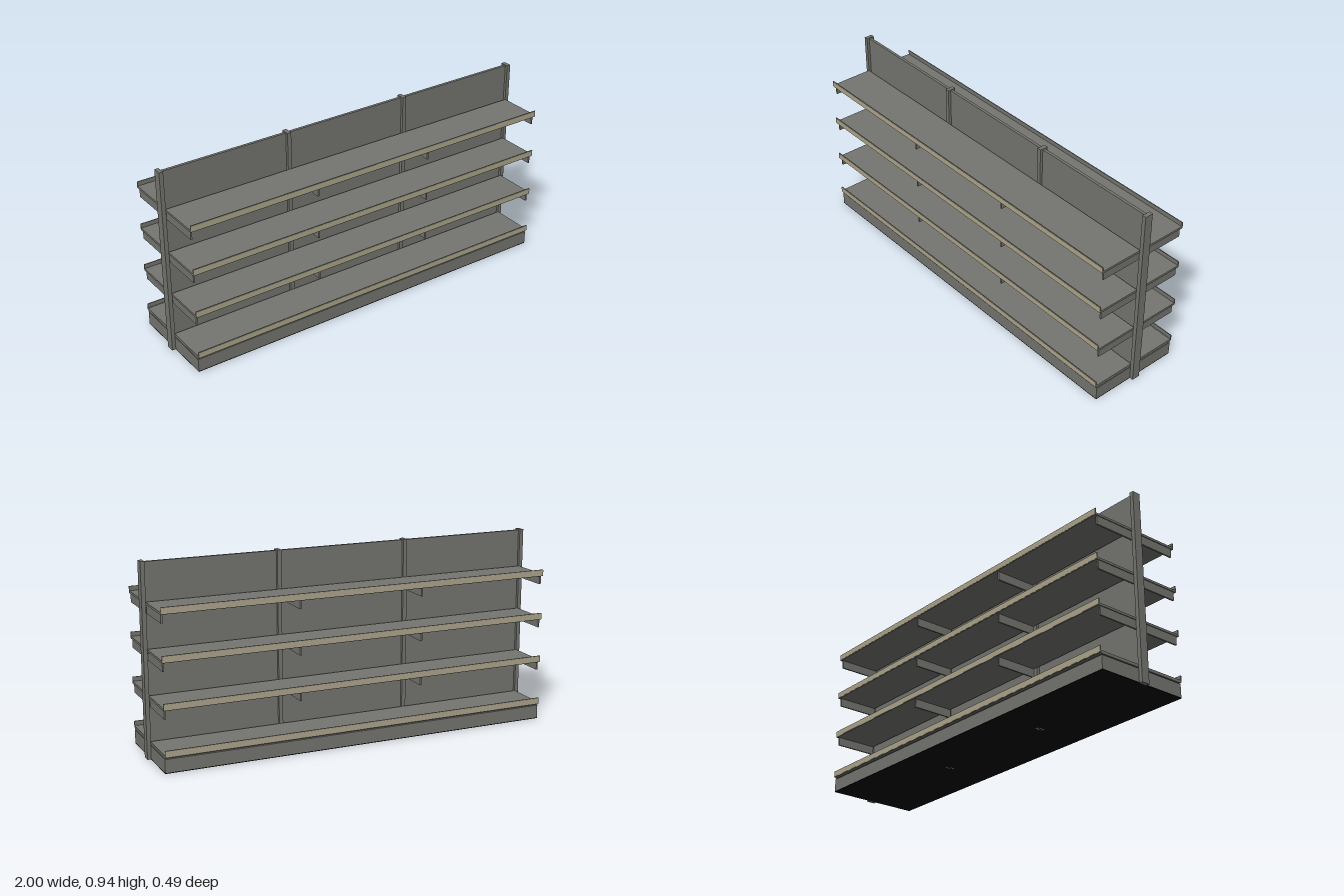
import * as THREE from 'three';

const steel = new THREE.MeshStandardMaterial({ color: 0x757570 });
steel.name = 'grey steel';
const beige = new THREE.MeshStandardMaterial({ color: 0xaea68c });
beige.name = 'beige price strip';
const black = new THREE.MeshStandardMaterial({ color: 0x050505 });
black.name = 'black underside';

// Box given by its minimum and maximum corners
function slab(parent, name, material, [x0, y0, z0], [x1, y1, z1]) {
  const mesh = new THREE.Mesh(new THREE.BoxGeometry(x1 - x0, y1 - y0, z1 - z0), material);
  mesh.position.set((x0 + x1) / 2, (y0 + y1) / 2, (z0 + z1) / 2);
  mesh.name = name;
  parent.add(mesh);
  return mesh;
}

// Rail cross-section swept along the shelf: a flat back with small folded lips
function priceRail(parent, y, halfLength) {
  const profile = new THREE.Shape([
    [0.236, 0.0], [0.242, 0.0], [0.244, 0.004], [0.244, 0.009], [0.2415, 0.010],
    [0.2415, 0.026], [0.244, 0.027], [0.243, 0.033], [0.239, 0.033], [0.239, 0.011], [0.236, 0.011],
  ].map(([z, h]) => new THREE.Vector2(-z, h)));
  const geometry = new THREE.ExtrudeGeometry(profile, { depth: halfLength * 2, bevelEnabled: false });
  geometry.rotateY(Math.PI / 2);
  const rail = new THREE.Mesh(geometry, steel);
  rail.position.set(-halfLength, y, 0);
  rail.name = 'priceRail';
  parent.add(rail);
  slab(parent, 'priceStrip', beige, [-halfLength, y + 0.003, 0.2415], [halfLength, y + 0.031, 0.2446]);
}

// One face of the gondola: plinth, base deck, three bracketed shelves
function buildSide(name) {
  const side = new THREE.Group();
  side.name = name;
  const half = 0.982;
  slab(side, 'plinth', steel, [-half, 0.004, 0.02], [half, 0.068, 0.236]);
  slab(side, 'deckSpacer', steel, [-half + 0.01, 0.068, 0.02], [half - 0.01, 0.075, 0.225]);
  slab(side, 'baseDeck', steel, [-half, 0.073, 0.02], [half, 0.087, 0.237]);
  priceRail(side, 0.077, half);

  for (const top of [0.308, 0.528, 0.748]) {
    slab(side, 'shelf', steel, [-half, top - 0.011, 0.02], [half, top, 0.237]);
    priceRail(side, top - 0.011, half);
    for (const x of [-0.974, -0.314, 0.314, 0.974]) {
      slab(side, 'bracket', steel, [x - 0.004, top - 0.053, 0.018], [x + 0.004, top - 0.011, 0.232]);
    }
  }
  return side;
}

export function createModel() {
  const model = new THREE.Group();
  model.name = 'doubleSidedShelving';

  // Uprights and the central back panel
  for (const x of [-0.99, -0.33, 0.33, 0.99]) {
    slab(model, 'upright', steel, [x - 0.01, 0, -0.021], [x + 0.01, 0.935, 0.021]);
  }
  slab(model, 'backPanel', steel, [-0.985, 0.004, -0.007], [0.985, 0.931, 0.007]);

  // Dark underside, also seen down the gap beside the panel
  slab(model, 'underside', black, [-0.982, 0, -0.236], [0.982, 0.004, 0.236]);

  const front = buildSide('frontShelves');
  const back = buildSide('backShelves');
  back.rotation.y = Math.PI;
  model.add(front, back);
  return model;
}
